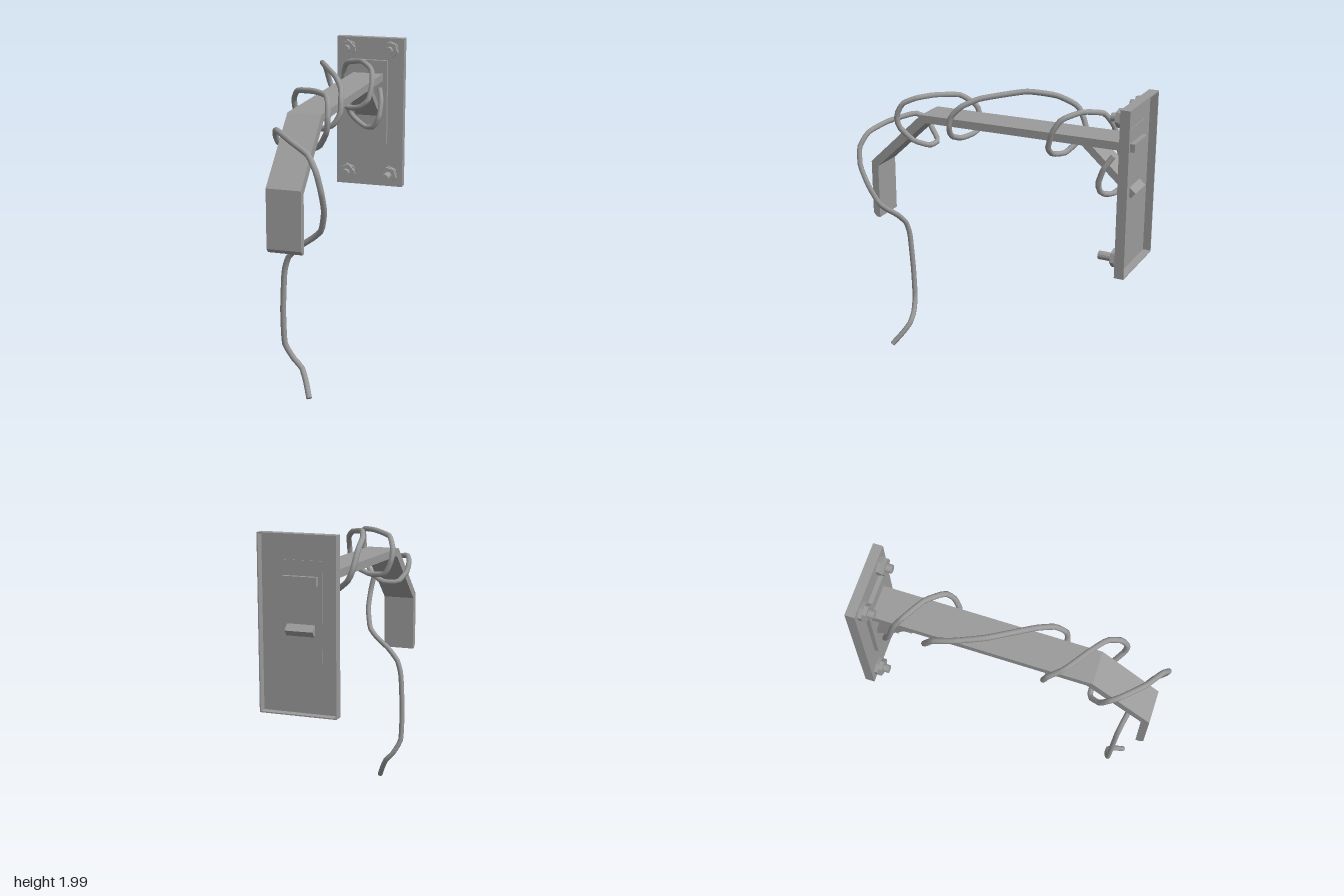
import * as THREE from 'three';

const smooth = new THREE.MeshStandardMaterial({ color: 0x9b9b9b });
const flat = new THREE.MeshStandardMaterial({ color: 0x9b9b9b, flatShading: true });

function add(parent, name, geometry, material = flat) {
  const mesh = new THREE.Mesh(geometry, material);
  mesh.name = name;
  parent.add(mesh);
  return mesh;
}

// Box given by its limits on each axis
function box(x0, x1, y0, y1, z0, z1) {
  return new THREE.BoxGeometry(x1 - x0, y1 - y0, z1 - z0)
    .translate((x0 + x1) / 2, (y0 + y1) / 2, (z0 + z1) / 2);
}

// Side outline of [z, y] points, extruded across x
function sideProfile(points, x0, x1) {
  const shape = new THREE.Shape(points.map(([z, y]) => new THREE.Vector2(z, y)));
  return new THREE.ExtrudeGeometry(shape, { depth: x1 - x0, bevelEnabled: false })
    .rotateY(-Math.PI / 2)
    .translate(x1, 0, 0);
}

// Cylinder along z between two depths
function rod(radius, z0, z1, sides) {
  return new THREE.CylinderGeometry(radius, radius, z1 - z0, sides)
    .rotateX(Math.PI / 2)
    .translate(0, 0, (z0 + z1) / 2);
}

// Free end of the cord, from the tip up to the arm: [x, y, z]
const hangingPoints = [
  [0.105, 0.02, 0.80], [0.065, 0.1, 0.74], [0.025, 0.17, 0.70], [-0.03, 0.23, 0.70],
  [-0.08, 0.33, 0.715], [-0.085, 0.55, 0.725], [-0.07, 0.8, 0.735], [-0.04, 0.9, 0.745],
  [0.035, 0.98, 0.765], [0.13, 1.05, 0.785], [0.19, 1.11, 0.81], [0.225, 1.24, 0.865],
  [0.225, 1.37, 0.92], [0.2, 1.49, 0.935], [0.14, 1.58, 0.90], [0.015, 1.63, 0.825],
  [-0.12, 1.665, 0.70],
];

// Cord wound along the arm towards the wall
const windingPoints = [
  [-0.155, 1.635, 0.635], [-0.155, 1.57, 0.59], [-0.11, 1.505, 0.52], [0.0, 1.505, 0.52],
  [0.105, 1.56, 0.58], [0.17, 1.66, 0.645], [0.18, 1.74, 0.655], [0.17, 1.82, 0.615],
  [0.13, 1.857, 0.535], [0.03, 1.862, 0.455], [-0.11, 1.84, 0.35], [-0.165, 1.77, 0.26],
  [-0.165, 1.70, 0.235], [-0.12, 1.605, 0.235], [0.0, 1.59, 0.28], [0.105, 1.63, 0.30],
  [0.145, 1.70, 0.295], [0.145, 1.77, 0.28], [0.125, 1.84, 0.215], [0.06, 1.89, 0.11],
  [-0.095, 1.926, -0.13], [-0.165, 1.905, -0.31], [-0.185, 1.85, -0.445], [-0.175, 1.74, -0.505],
  [-0.14, 1.67, -0.50], [-0.03, 1.59, -0.435], [0.07, 1.605, -0.39], [0.13, 1.66, -0.385],
  [0.145, 1.77, -0.42], [0.125, 1.85, -0.47], [0.03, 1.885, -0.565], [-0.1, 1.855, -0.655],
  [-0.14, 1.77, -0.71], [-0.145, 1.61, -0.75], [-0.12, 1.475, -0.80], [-0.06, 1.415, -0.805],
  [0.01, 1.385, -0.77], [0.08, 1.405, -0.725], [0.115, 1.475, -0.715], [0.12, 1.58, -0.75],
  [0.095, 1.66, -0.80],
];

export function createModel() {
  const model = new THREE.Group();
  model.name = 'wallArmWithCord';

  // Wall plate: thin face with a rim turned back, open behind
  const plate = new THREE.Group();
  plate.name = 'wallPlate';
  model.add(plate);
  add(plate, 'plateFace', box(-0.243, 0.243, 0.936, 2, -0.9, -0.888));
  for (const s of [-1, 1]) {
    add(plate, 'plateSideRim', box(s * 0.2395 - 0.0035, s * 0.2395 + 0.0035, 0.936, 2, -0.95, -0.9));
    const y = 1.468 + s * 0.5285;
    add(plate, 'plateEndRim', box(-0.236, 0.236, y - 0.0035, y + 0.0035, -0.95, -0.9));
  }

  // Mounting pad, showing slightly through the back of the plate
  add(model, 'mountingPad', box(-0.14, 0.13, 1.25, 1.845, -0.905, -0.86));

  // Bent flat arm, its end passing through the plate
  add(model, 'arm', sideProfile([
    [-0.935, 1.755], [-0.935, 1.703], [0.49, 1.687], [0.862, 1.337], [0.862, 0.97],
    [0.888, 0.97], [0.912, 0.997], [0.912, 1.365], [0.524, 1.737],
  ], -0.116, 0.1));

  // Diagonal brace below the arm, cut square behind the plate
  add(model, 'brace', sideProfile([
    [-0.577, 1.7], [-0.625, 1.72], [-0.945, 1.438], [-0.915, 1.404],
  ], -0.095, 0.08));

  // Four bolts, each with two stacked hexagonal nuts; one bolt sticks out further
  for (const x of [-0.16, 0.15]) {
    for (const y of [1.028, 1.922]) {
      const bolt = new THREE.Group();
      bolt.name = 'bolt';
      bolt.position.set(x, y, 0);
      model.add(bolt);
      const tip = x > 0 && y < 1.5 ? -0.75 : -0.802;
      add(bolt, 'innerNut', rod(0.06, -0.89, -0.865, 6)).rotation.z = 0.15;
      add(bolt, 'outerNut', rod(0.058, -0.865, -0.84, 6)).rotation.z = x * 2;
      add(bolt, 'shank', rod(0.027, -0.89, tip, 12));
    }
  }

  // Cord: one round tube with closed ends, kept slightly kinked
  const path = new THREE.CatmullRomCurve3(
    [...hangingPoints, ...windingPoints].map((p) => new THREE.Vector3(...p)), false, 'catmullrom', 0.25);
  add(model, 'cord', new THREE.TubeGeometry(path, 180, 0.018, 8), smooth);
  for (const t of [0, 1]) {
    const cap = add(model, 'cordEnd', new THREE.CircleGeometry(0.018, 8));
    const outward = path.getTangentAt(t).multiplyScalar(t ? 1 : -1);
    cap.position.copy(path.getPointAt(t));
    cap.quaternion.setFromUnitVectors(new THREE.Vector3(0, 0, 1), outward);
  }

  return model;
}
